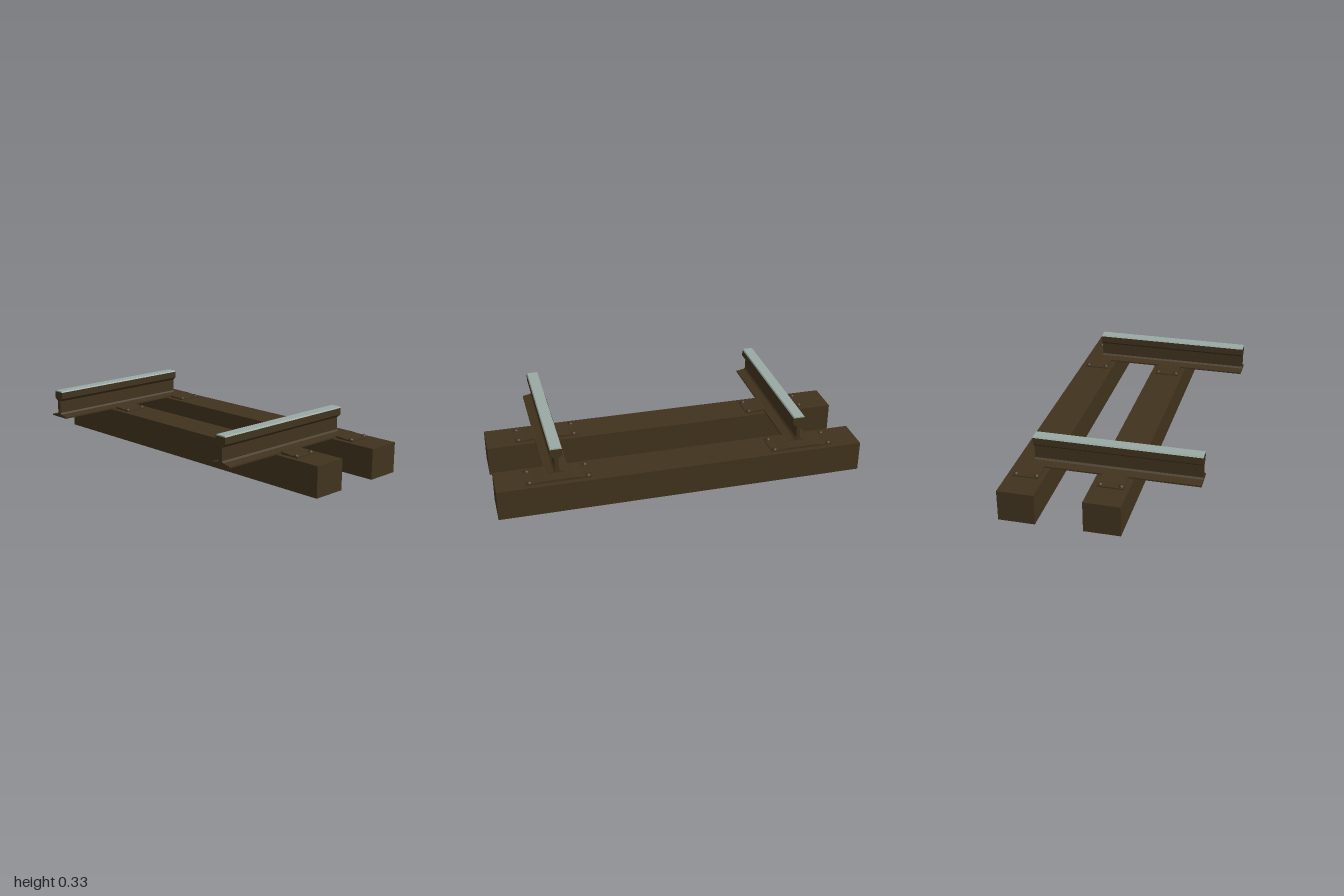
import * as THREE from 'three';

export function createModel() {
  const model = new THREE.Group();
  model.name = 'railwayTrackSection';

  const brown = new THREE.MeshStandardMaterial({ color: 0x40321d, side: THREE.DoubleSide });
  brown.name = 'weatheredBrown';
  const steel = new THREE.MeshStandardMaterial({ color: 0x98a8a2 });
  steel.name = 'polishedSteel';
  const darkRust = new THREE.MeshStandardMaterial({ color: 0x1e0606 });
  darkRust.name = 'darkRust';

  const add = (parent, name, geometry, material, x = 0, y = 0, z = 0) => {
    const mesh = new THREE.Mesh(geometry, material);
    mesh.name = name;
    mesh.position.set(x, y, z);
    parent.add(mesh);
  };

  // Mirrors half a (z, y) section and extrudes it along x
  const extrudeAlongX = (half, x0, x1) => {
    const mirrored = half.map(([z, y]) => [-z, y]).reverse();
    const shape = new THREE.Shape([...half, ...mirrored].map(([z, y]) => new THREE.Vector2(z, y)));
    const geometry = new THREE.ExtrudeGeometry(shape, { depth: x1 - x0, bevelEnabled: false });
    return geometry.rotateY(Math.PI / 2).translate(x0, 0, 0);
  };

  const sleeperX = [-0.05, 0.394];
  const railZ = [-0.67, 0.67];
  const railStart = -0.494, railEnd = 0.394;

  // Sleepers: boxes with an open underside
  const sleeperGeometry = new THREE.BoxGeometry(0.194, 0.168, 2);
  const faces = Array.from(sleeperGeometry.index.array);
  faces.splice(18, 6);
  sleeperGeometry.setIndex(faces);
  sleeperGeometry.clearGroups();
  for (const x of sleeperX) add(model, 'sleeper', sleeperGeometry, brown, x, 0.084, 0);

  // Rail section: foot, web and head, with a bright running surface on top
  const railGeometry = extrudeAlongX([
    [0.065, 0.171], [0.065, 0.179], [0.020, 0.188], [0.011, 0.196],
    [0.011, 0.265], [0.033, 0.283], [0.033, 0.320],
  ], railStart, railEnd);
  const runningGeometry = extrudeAlongX([[0.033, 0.320], [0.028, 0.327]], railStart, railEnd);

  // Dark face under the rail foot
  const undersideGeometry = new THREE.PlaneGeometry(railEnd - railStart, 0.13).rotateX(Math.PI / 2);

  // Tie plate, sloping gently up to the rail, and its low domed bolt heads
  const plateGeometry = extrudeAlongX([
    [0.175, 0.166], [0.175, 0.174], [0.13, 0.176], [0.07, 0.181], [0.05, 0.181],
  ], -0.069, 0.069);
  const boltGeometry = new THREE.SphereGeometry(0.014, 12, 4, 0, Math.PI * 2, 0, Math.PI / 2);
  boltGeometry.scale(1, 0.8, 1);

  for (const z of railZ) {
    const track = new THREE.Group();
    track.name = z > 0 ? 'frontTrackRail' : 'backTrackRail';
    track.position.z = z;
    model.add(track);
    add(track, 'rail', railGeometry, brown);
    add(track, 'runningSurface', runningGeometry, steel);
    add(track, 'railUnderside', undersideGeometry, darkRust, (railStart + railEnd) / 2, 0.1705, 0);
    for (const x of sleeperX) {
      add(track, 'tiePlate', plateGeometry, brown, x, 0, 0);
      for (const dx of [-0.055, 0.055]) {
        for (const dz of [-0.155, 0.155]) {
          add(track, 'bolt', boltGeometry, brown, x + dx, 0.174, dz);
        }
      }
    }
  }
  return model;
}
